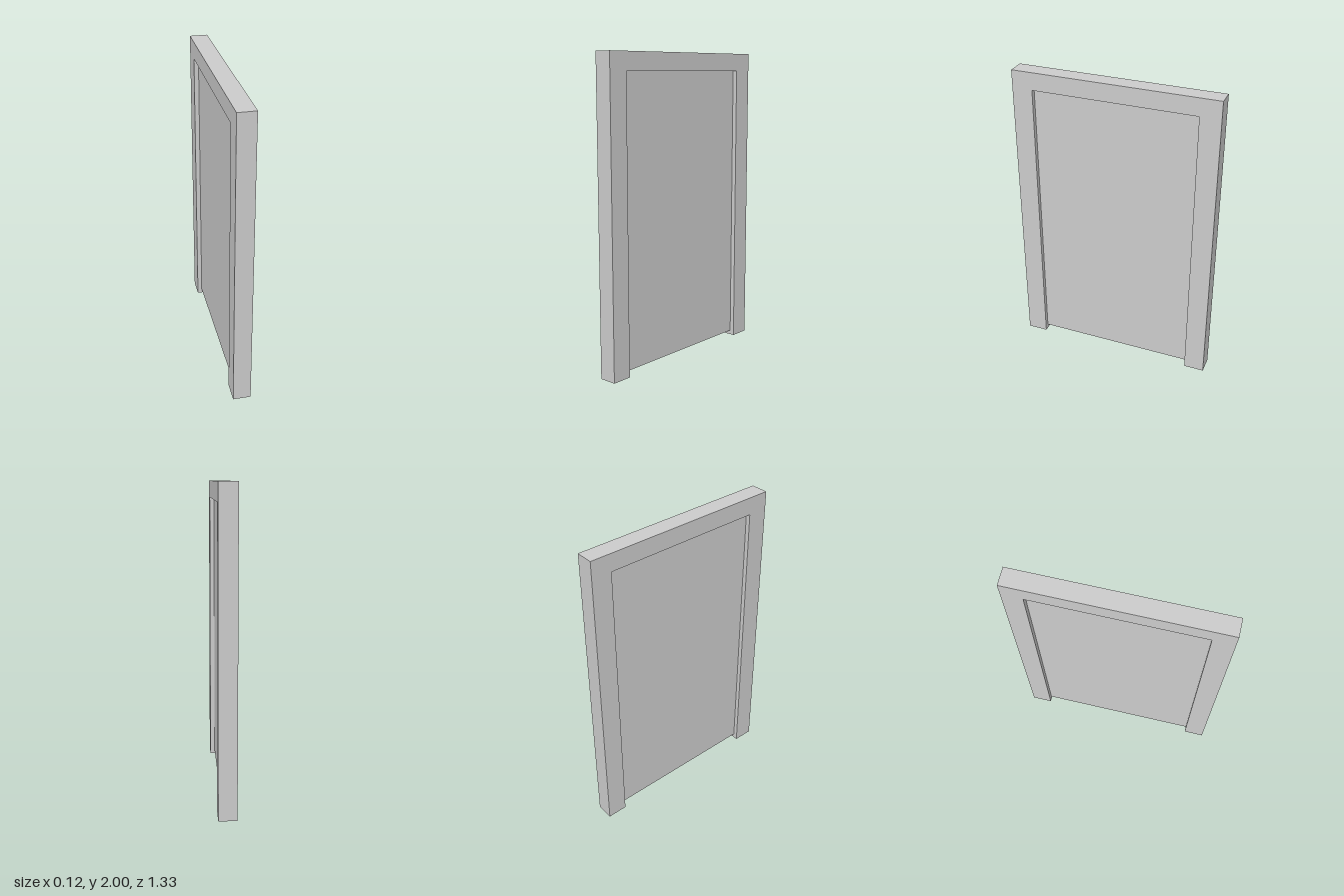
import * as THREE from 'three';

const HALF_DEPTH = 0.058;

// Hollow U-shaped frame: a rectangular section swept up, across and down with mitred corners, open at the feet
function frameGeometry() {
  // each station: outer z, outer y, inner z, inner y
  const stations = [
    [0.667, 0, 0.533, 0],
    [0.667, 2, 0.533, 1.885],
    [-0.667, 2, -0.533, 1.885],
    [-0.667, 0, -0.533, 0],
  ];
  const rings = stations.map(([oz, oy, iz, iy]) => [
    [HALF_DEPTH, oy, oz], [HALF_DEPTH, iy, iz],
    [-HALF_DEPTH, iy, iz], [-HALF_DEPTH, oy, oz],
  ]);
  const positions = [];
  for (let i = 0; i < 3; i++) {
    for (let k = 0; k < 4; k++) {
      const n = (k + 1) % 4;
      const a = rings[i][k], b = rings[i][n], c = rings[i + 1][n], d = rings[i + 1][k];
      positions.push(...a, ...b, ...c, ...a, ...c, ...d);
    }
  }
  const geometry = new THREE.BufferGeometry();
  geometry.setAttribute('position', new THREE.Float32BufferAttribute(positions, 3));
  geometry.computeVertexNormals();
  return geometry;
}

export function createModel() {
  const group = new THREE.Group();
  group.name = 'door';
  const material = new THREE.MeshStandardMaterial({ color: 0xcccccc, side: THREE.DoubleSide });

  const frame = new THREE.Mesh(frameGeometry(), material);
  frame.name = 'doorFrame';
  group.add(frame);

  // Door leaf, recessed on both sides and let slightly into the frame
  const bottom = 0.03, top = 1.9;
  const leaf = new THREE.Mesh(new THREE.BoxGeometry(0.056, top - bottom, 1.09), material);
  leaf.name = 'doorLeaf';
  leaf.position.y = (top + bottom) / 2;
  group.add(leaf);

  return group;
}
